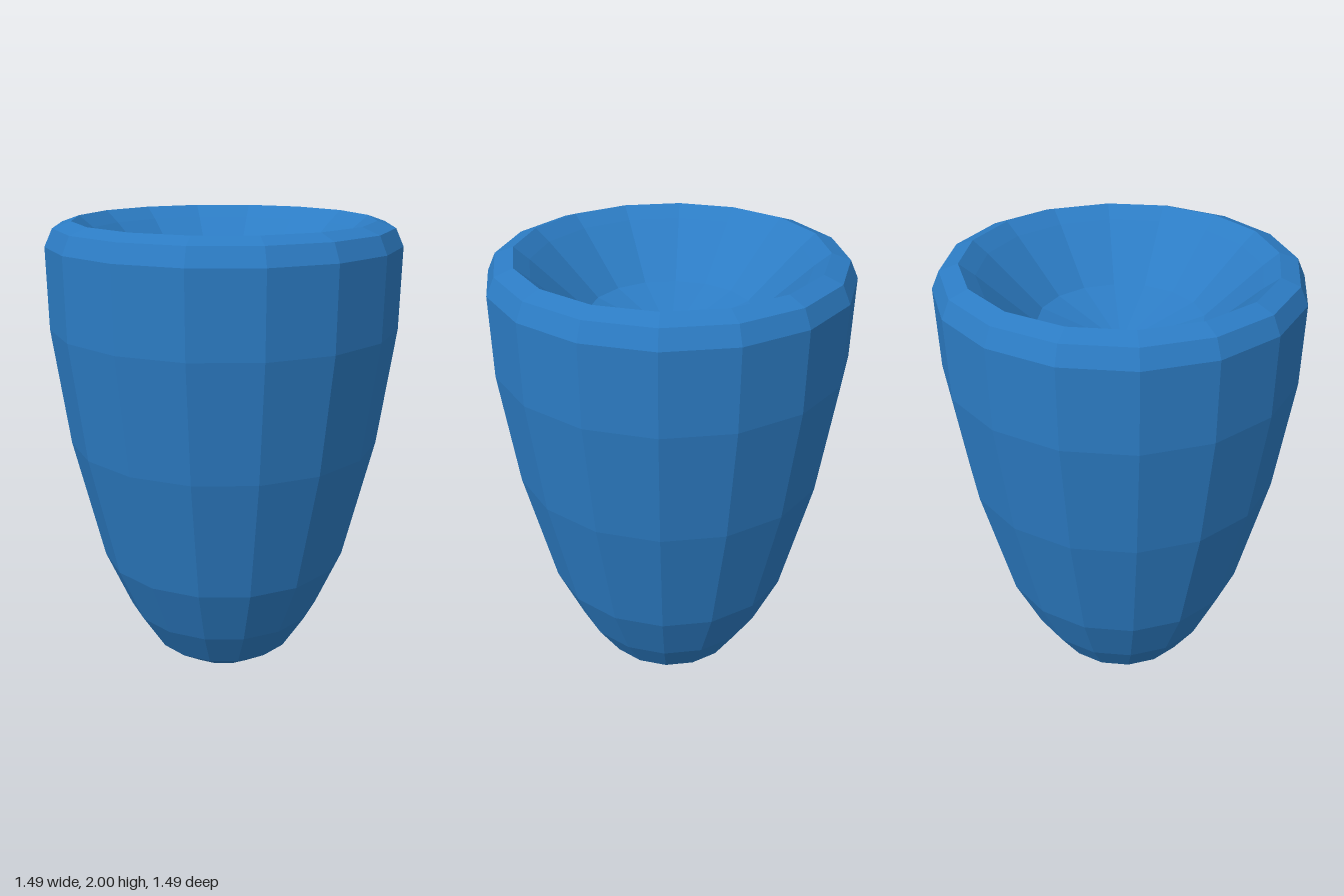
import * as THREE from 'three';

const SIDES = 16;

// Faceted ring of surface from [radius, height] pairs, with a very slight lean toward the foot
function facetedLathe(name, profile, material) {
  const points = profile.map(([r, y]) => new THREE.Vector2(r, y));
  const geometry = new THREE.LatheGeometry(points, SIDES);
  const pos = geometry.attributes.position;
  for (let i = 0; i < pos.count; i++) {
    const low = 1 - pos.getY(i) / 2;
    pos.setX(i, pos.getX(i) - 0.003 - 0.007 * low);
    pos.setZ(i, pos.getZ(i) + 0.006 * low);
  }
  geometry.computeVertexNormals();
  const mesh = new THREE.Mesh(geometry, material);
  mesh.name = name;
  return mesh;
}

export function createModel() {
  // Double sided because the shell is thin and open underneath
  const blue = new THREE.MeshStandardMaterial({ color: 0x2c7cc4 });
  blue.name = 'blue';
  blue.flatShading = true;
  blue.side = THREE.DoubleSide;

  const model = new THREE.Group();
  model.name = 'taperedCup';
  model.add(
    // Rounded, tapering outer wall with an open foot
    facetedLathe('outerWall', [
      [0.195, 0], [0.325, 0.09], [0.432, 0.26], [0.545, 0.52],
      [0.672, 1.06], [0.739, 1.56], [0.743, 1.9],
    ], blue),
    // Bevelled lip
    facetedLathe('rim', [[0.743, 1.9], [0.709, 1.973], [0.632, 2]], blue),
    // Shallow hollow with a conical floor
    facetedLathe('hollow', [[0.632, 2], [0.57, 1.95], [0.343, 1.74], [0, 1.63]], blue),
  );
  return model;
}
